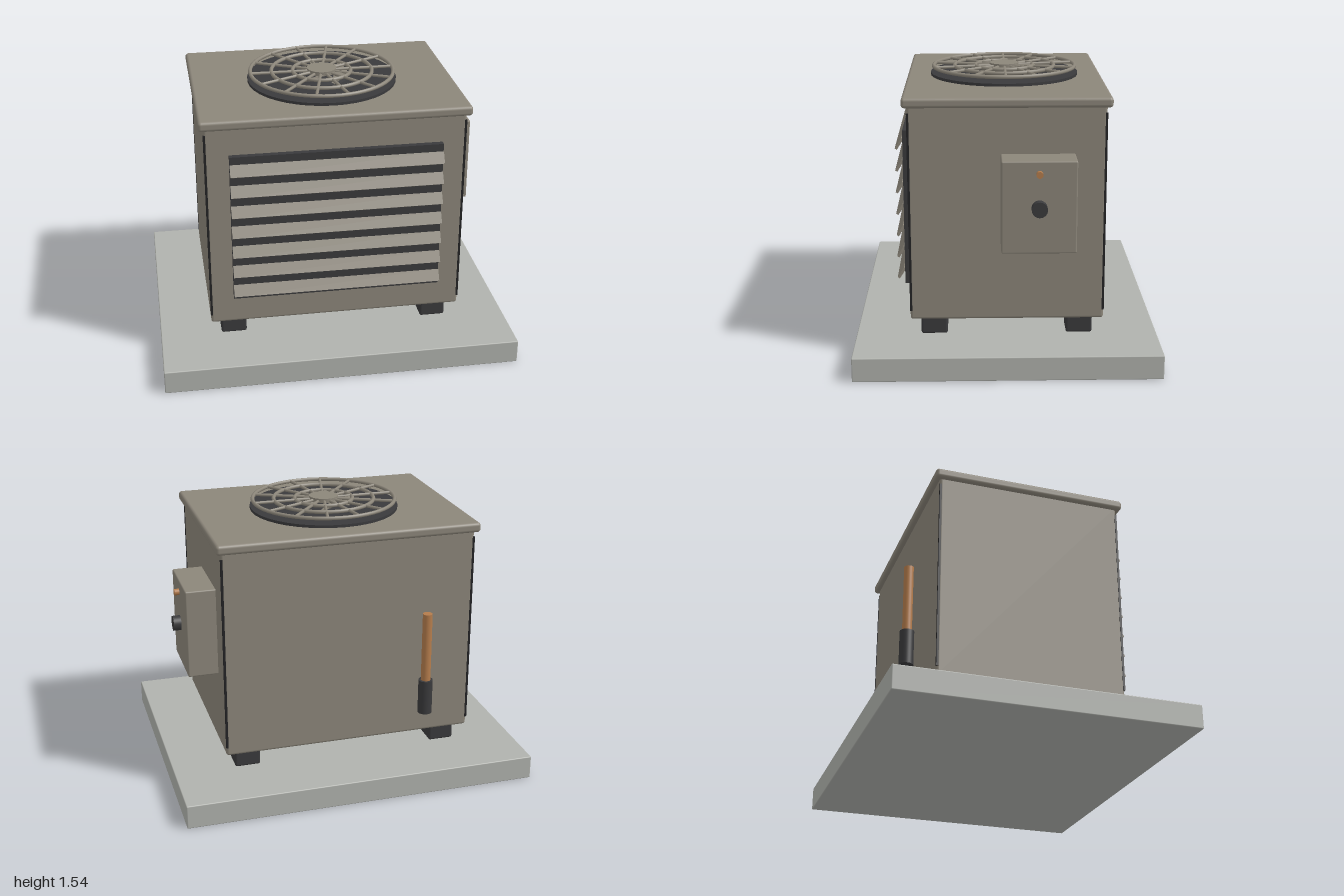
import * as THREE from 'three';
import { RoundedBoxGeometry } from 'three/addons/geometries/RoundedBoxGeometry.js';

const mat = (name, color) => new THREE.MeshStandardMaterial({ name, color });

export function createModel() {
  const casing = mat('taupe casing', 0x8c867a);
  const concrete = mat('pale concrete', 0xb0b2ad);
  const dark = mat('charcoal', 0x3a3a3c);
  const seam = mat('black seam', 0x232325);
  const copper = mat('copper', 0xb47c4c);
  const model = new THREE.Group();
  model.name = 'outdoorUnit';

  function add(name, geometry, material, x, y, z, parent = model) {
    const mesh = new THREE.Mesh(geometry, material);
    mesh.name = name;
    mesh.position.set(x, y, z);
    parent.add(mesh);
    return mesh;
  }
  const rounded = (w, h, d, r) => new RoundedBoxGeometry(w, h, d, 3, r);
  const cylinder = (r, h, r2 = r) => new THREE.CylinderGeometry(r2, r, h, 40);

  // Base slab, casing and overhanging lid
  add('slab', rounded(2, 0.135, 1.66, 0.006), concrete, 0, 0.0675, 0);
  add('body', rounded(1.426, 1.2, 1.056, 0.015), casing, 0, 0.84, 0);
  add('lid', rounded(1.48, 0.055, 1.112, 0.018), casing, 0, 1.448, 0);

  // Rubber feet and corner seams
  for (const sx of [-1, 1]) {
    for (const sz of [-1, 1]) {
      add('foot', rounded(0.145, 0.11, 0.145, 0.012), dark, sx * 0.582, 0.188, sz * 0.4);
      add('cornerSeam', new THREE.BoxGeometry(0.012, 1.1, 0.012), seam, sx * 0.709, 0.84, sz * 0.524);
    }
  }

  // Front louvre: dark backing with seven slats leaning outward at the bottom
  const louvre = new THREE.Group();
  louvre.name = 'louvre';
  model.add(louvre);
  add('louvreBacking', new THREE.BoxGeometry(1.165, 0.865, 0.04), dark, 0, 0.838, 0.54, louvre);
  for (let i = 0; i < 7; i++) {
    const slat = add('slat', new THREE.BoxGeometry(1.165, 0.068, 0.014), casing, 0, 0.465 + i * 0.122, 0.578, louvre);
    slat.rotation.x = -0.56;
  }

  // Top fan: opening, hub and pitched blades
  const fan = new THREE.Group();
  fan.name = 'fan';
  model.add(fan);
  add('fanOpening', cylinder(0.422, 0.018), dark, 0, 1.482, 0, fan);
  add('fanHub', cylinder(0.16, 0.024, 0.09), dark, 0, 1.502, 0, fan);
  for (let i = 0; i < 5; i++) {
    const arm = new THREE.Group();
    arm.name = 'bladeArm';
    arm.rotation.y = (i / 5) * Math.PI * 2 + 0.3;
    fan.add(arm);
    const blade = add('blade', new THREE.BoxGeometry(0.1, 0.006, 0.1), casing, 0.1, 1.509, 0, arm);
    blade.rotation.x = 0.3;
  }

  // Wire guard: concentric rings, fourteen spokes and a centre cap
  const guard = new THREE.Group();
  guard.name = 'fanGuard';
  model.add(guard);
  for (const r of [0.405, 0.285, 0.165]) {
    const ring = add('guardRing', new THREE.TorusGeometry(r, 0.011, 8, 56), casing, 0, 1.525, 0, guard);
    ring.rotation.x = Math.PI / 2;
  }
  for (let i = 0; i < 14; i++) {
    const a = (i / 14) * Math.PI * 2;
    const spoke = add('guardSpoke', new THREE.CylinderGeometry(0.009, 0.009, 0.34, 8), casing,
      Math.cos(a) * 0.235, 1.525, -Math.sin(a) * 0.235, guard);
    spoke.rotation.set(0, a, Math.PI / 2);
  }
  add('guardCap', cylinder(0.083, 0.024), casing, 0, 1.529, 0, guard);

  // Side control box with knob and indicator
  add('controlBox', rounded(0.18, 0.5, 0.398, 0.008), casing, 0.79, 0.92, -0.164);
  const knob = add('knob', cylinder(0.042, 0.045), dark, 0.9, 0.92, -0.164);
  const lamp = add('indicator', cylinder(0.018, 0.03), copper, 0.892, 1.103, -0.164);
  knob.rotation.z = lamp.rotation.z = -Math.PI / 2;

  // Rear copper pipe with insulating sleeve
  add('pipe', cylinder(0.027, 0.59), copper, -0.418, 0.705, -0.616);
  add('pipeSleeve', cylinder(0.04, 0.2), dark, -0.418, 0.503, -0.616);

  return model;
}
